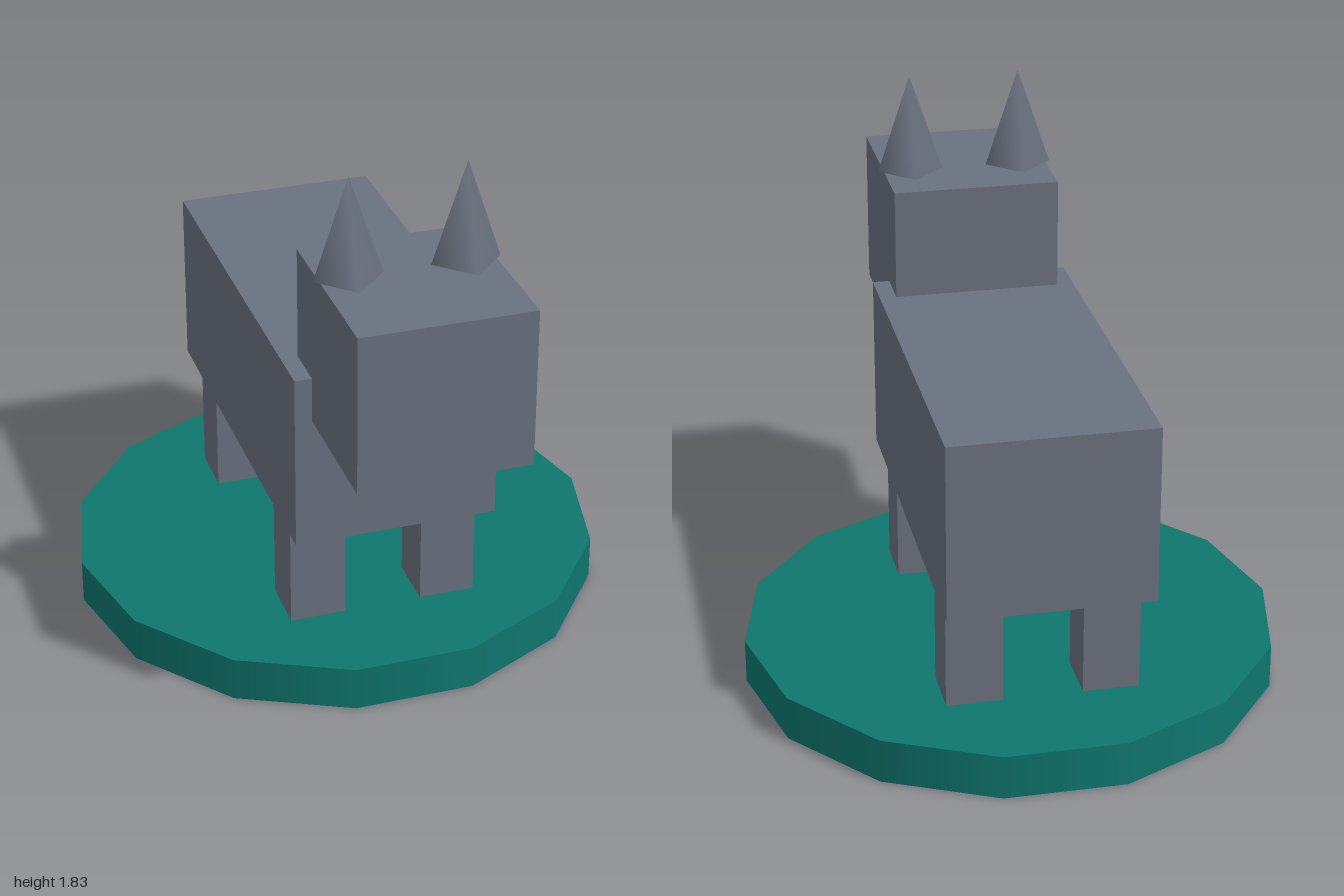
import * as THREE from 'three';

export function createModel() {
  const model = new THREE.Group();
  model.name = 'hornedAnimal';

  const grey = new THREE.MeshStandardMaterial({ color: 0x6b7280 });
  grey.name = 'slate grey';
  const green = new THREE.MeshStandardMaterial({ color: 0x0f766e });
  green.name = 'teal green';

  function add(name, geometry, material, x, y, z) {
    const mesh = new THREE.Mesh(geometry, material);
    mesh.name = name;
    mesh.position.set(x, y, z);
    model.add(mesh);
    return mesh;
  }

  // Fourteen-sided base disc with corners on the x axis
  const base = add('base', new THREE.CylinderGeometry(0.897, 0.897, 0.15, 14), green, 0, 0.075, -0.125);
  base.rotation.y = Math.PI / 2;

  // Body and head
  add('body', new THREE.BoxGeometry(0.673, 0.598, 1.346), grey, 0, 0.827, -0.123);
  add('head', new THREE.BoxGeometry(0.56, 0.525, 0.6), grey, 0, 1.237, 0.7);

  // Legs and pointed ears, mirrored left and right
  const legGeometry = new THREE.BoxGeometry(0.187, 0.38, 0.187);
  const earGeometry = new THREE.ConeGeometry(0.112, 0.333, 4);
  for (const [side, s] of [['Left', 1], ['Right', -1]]) {
    add('front' + side + 'Leg', legGeometry, grey, s * 0.224, 0.34, 0.327);
    add('back' + side + 'Leg', legGeometry, grey, s * 0.224, 0.34, -0.572);
    add('ear' + side, earGeometry, grey, s * 0.187, 1.665, 0.625);
  }

  return model;
}
